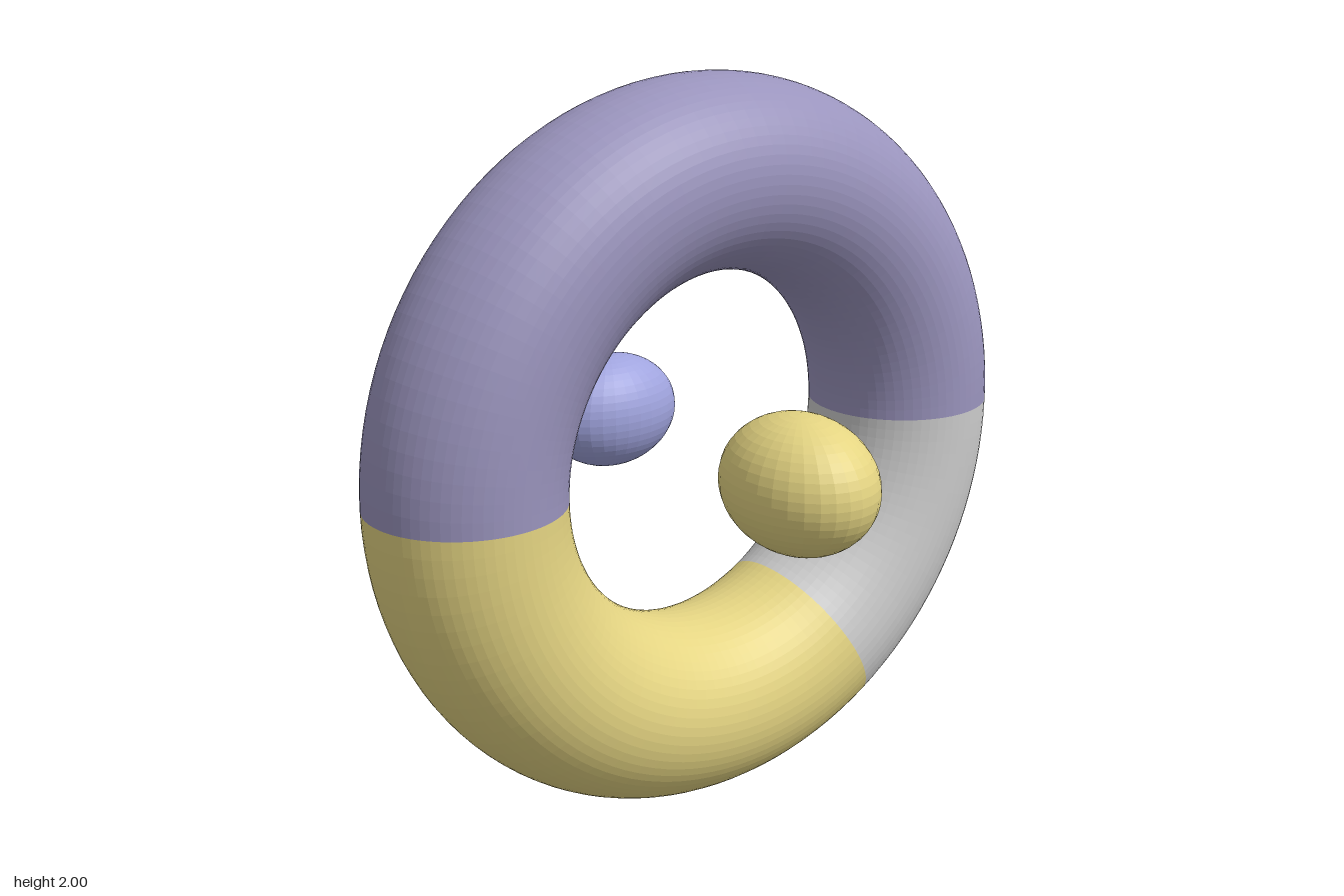
import * as THREE from 'three';

const RING_RADIUS = 0.742, TUBE_RADIUS = 0.258, RING_Z = -0.045;

const material = (color) => new THREE.MeshStandardMaterial({ color, flatShading: true });
const purple = 0x9a94bd, gold = 0xe4d482, blue = 0xa0a4de, grey = 0xcccccc;

// One coloured arc of the ring, angles in degrees counter-clockwise from +x
function ringArc(name, color, from, to) {
  const sweep = to - from;
  const geometry = new THREE.TorusGeometry(
    RING_RADIUS, TUBE_RADIUS, 64, Math.round(sweep / 3), THREE.MathUtils.degToRad(sweep));
  geometry.rotateZ(THREE.MathUtils.degToRad(from));
  const mesh = new THREE.Mesh(geometry, material(color));
  mesh.name = name;
  mesh.position.set(0, 1, RING_Z);
  return mesh;
}

// Ellipsoid bead with its own radii, on the ring's axis
function bead(name, color, z, rx, ry, rz) {
  const geometry = new THREE.SphereGeometry(1, 32, 24).scale(rx, ry, rz);
  const mesh = new THREE.Mesh(geometry, material(color));
  mesh.name = name;
  mesh.position.set(0, 1, z);
  return mesh;
}

export function createModel() {
  const model = new THREE.Group();
  model.name = 'ringWithBeads';
  model.add(
    // Ring in three arcs
    ringArc('upperRingArc', purple, 0, 180),
    ringArc('lowerRingArc', gold, 180, 300),
    ringArc('sideRingArc', grey, 300, 360),
    // Beads in front of and behind the hole
    bead('frontBead', gold, 0.363, 0.185, 0.185, 0.237),
    bead('backBead', blue, -0.453, 0.206, 0.163, 0.147),
  );
  return model;
}
